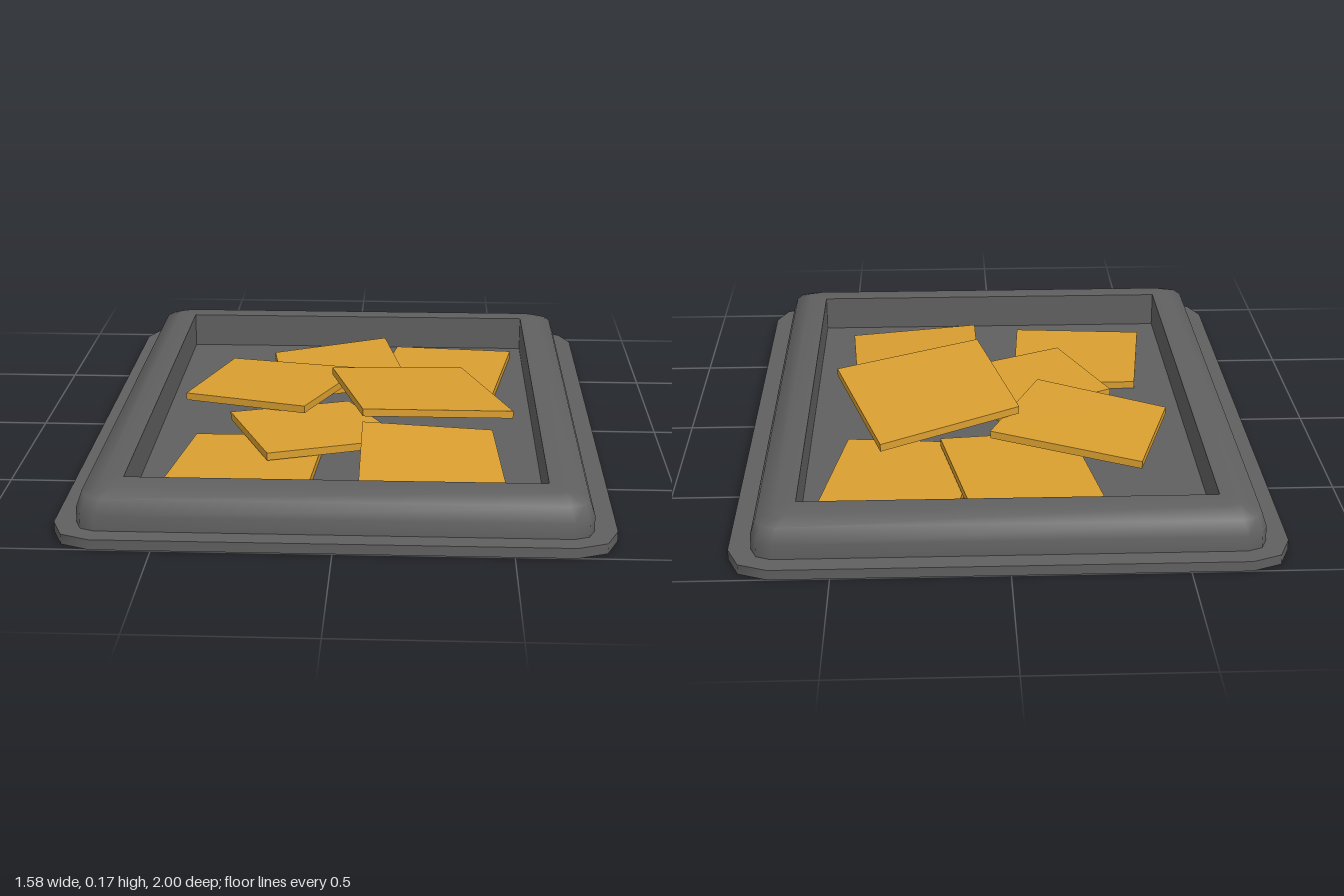
import * as THREE from 'three';
import { toCreasedNormals } from 'three/addons/utils/BufferGeometryUtils.js';

// Outline of a rounded rectangle with two facets per corner
function ring([hx, hz, r, y]) {
  const pts = [];
  [[1, 1], [-1, 1], [-1, -1], [1, -1]].forEach(([sx, sz], q) => {
    for (let k = 0; k <= 2; k++) {
      const a = (q + k / 2) * Math.PI / 2;
      pts.push([sx * (hx - r) + r * Math.cos(a), y, sz * (hz - r) + r * Math.sin(a)]);
    }
  });
  return pts;
}

// Skin a list of outlines into one sheet
function loft(sections) {
  const rings = sections.map(ring);
  const n = rings[0].length, index = [];
  for (let j = 0; j < rings.length - 1; j++) {
    for (let i = 0; i < n; i++) {
      const a = j * n + i, c = j * n + (i + 1) % n;
      index.push(a, a + n, c, c, a + n, c + n);
    }
  }
  const g = new THREE.BufferGeometry();
  g.setAttribute('position', new THREE.Float32BufferAttribute(rings.flat(2), 3));
  g.setIndex(index);
  return toCreasedNormals(g, Math.PI / 3);
}

// Slab whose top corners are [x, y, z], ordered back left, back right, front right, front left
function slab(corners, thickness) {
  const g = new THREE.BoxGeometry(1, 1, 1);
  const p = g.attributes.position;
  for (let i = 0; i < p.count; i++) {
    const right = p.getX(i) > 0, front = p.getZ(i) > 0;
    const [x, y, z] = corners[front ? (right ? 2 : 3) : (right ? 1 : 0)];
    p.setXYZ(i, x, p.getY(i) > 0 ? y : y - thickness, z);
  }
  g.computeVertexNormals();
  return g;
}

export function createModel() {
  const model = new THREE.Group();
  model.name = 'trayOfCrackers';
  const trayMat = new THREE.MeshStandardMaterial({ color: 0x606060, side: THREE.DoubleSide });
  trayMat.name = 'darkGrey';
  const crackerMat = new THREE.MeshStandardMaterial({ color: 0xda9f30 });
  crackerMat.name = 'goldenBrown';

  function add(name, geometry, material) {
    const mesh = new THREE.Mesh(geometry, material);
    mesh.name = name;
    model.add(mesh);
  }

  // Base flange: half width, half depth, corner radius, height
  add('flange', loft([
    [0.725, 0.94, 0.06, 0.03],
    [0.725, 0.94, 0.06, 0],
    [0.79, 1, 0.12, 0],
    [0.79, 1, 0.12, 0.03],
    [0.725, 0.94, 0.06, 0.03],
  ]), trayMat);

  // Hollow rounded rim
  add('rim', loft([
    [0.725, 0.94, 0.06, 0.03],
    [0.725, 0.94, 0.06, 0.075],
    [0.71, 0.925, 0.06, 0.12],
    [0.66, 0.875, 0.04, 0.14],
    [0.6, 0.805, 0, 0.14],
  ]), trayMat);

  // Sunken well with a flat floor
  add('well', loft([
    [0.6, 0.805, 0, 0.14],
    [0.6, 0.805, 0, 0.025],
    [0, 0, 0, 0.025],
  ]), trayMat);

  // Scattered crackers, lowest first
  const crackers = [
    [[0.15, 0.05, -0.73], [0.56, 0.05, -0.69], [0.48, 0.05, -0.21], [0.07, 0.05, -0.25]],
    [[-0.29, 0.052, -0.635], [0.105, 0.08, -0.74], [0.19, 0.08, -0.28], [-0.22, 0.052, -0.18]],
    [[-0.47, 0.05, 0.21], [-0.06, 0.05, 0.21], [-0.095, 0.05, 0.7], [-0.53, 0.05, 0.66]],
    [[0.055, 0.095, 0.2], [0.465, 0.07, 0.19], [0.495, 0.05, 0.665], [0.06, 0.075, 0.69]],
    [[-0.375, 0.08, 0.085], [0, 0.065, -0.08], [0.19, 0.068, 0.275], [-0.225, 0.08, 0.45]],
    [[-0.42, 0.082, -0.47], [0.035, 0.11, -0.295], [-0.135, 0.11, 0.105], [-0.54, 0.085, -0.08]],
    [[-0.06, 0.145, -0.19], [0.375, 0.098, -0.355], [0.53, 0.128, 0.175], [0.06, 0.175, 0.305]],
  ];
  crackers.forEach((c, i) => add('cracker' + (i + 1), slab(c, 0.024), crackerMat));

  return model;
}
